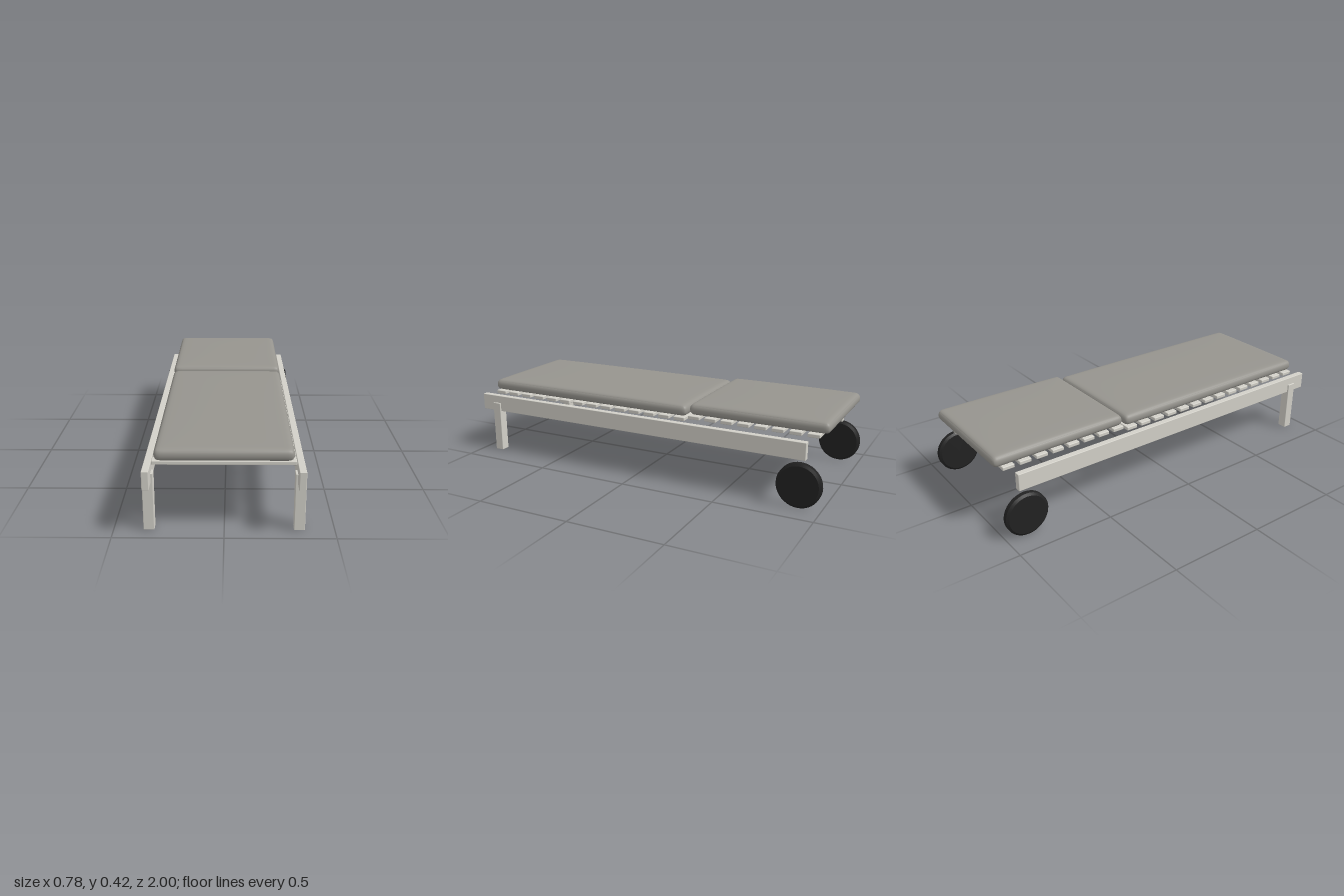
import * as THREE from 'three';
import { mergeVertices, toCreasedNormals } from 'three/addons/utils/BufferGeometryUtils.js';
import { RoundedBoxGeometry } from 'three/addons/geometries/RoundedBoxGeometry.js';

const frameMat = new THREE.MeshStandardMaterial({ name: 'pale frame', color: 0xd2d0c8 });
const cushionMat = new THREE.MeshStandardMaterial({ name: 'grey fabric', color: 0x96948e });
const wheelMat = new THREE.MeshStandardMaterial({ name: 'black rubber', color: 0x222222 });

// Softly rounded box given by its extents on each axis
function bar(name, [x0, x1], [y0, y1], [z0, z1], radius = 0.003) {
  const geo = new RoundedBoxGeometry(x1 - x0, y1 - y0, z1 - z0, 2, radius);
  const mesh = new THREE.Mesh(geo, frameMat);
  mesh.name = name;
  mesh.position.set((x0 + x1) / 2, (y0 + y1) / 2, (z0 + z1) / 2);
  return mesh;
}

// Padded cushion: box with rolled edges and a slightly domed top
function cushion(name, halfW, y0, y1, z0, z1, dome) {
  const half = new THREE.Vector3(halfW, (y1 - y0 - dome) / 2, (z1 - z0) / 2);
  const r = half.y * 0.92;
  let geo = new THREE.BoxGeometry(2, 2, 2, 28, 10, 36);
  geo.deleteAttribute('uv');
  geo.deleteAttribute('normal');
  geo = mergeVertices(geo);
  const pos = geo.attributes.position;
  const p = new THREE.Vector3(), inner = new THREE.Vector3();
  const limit = half.clone().subScalar(r);
  const low = limit.clone().negate();
  for (let i = 0; i < pos.count; i++) {
    p.fromBufferAttribute(pos, i);
    const crown = (1 - p.x * p.x) * (1 - p.z * p.z);
    const top = p.y > 0 ? p.y : 0;
    // concentrate the rows near the edges, then round them
    p.set(Math.sin(p.x * Math.PI / 2), Math.sin(p.y * Math.PI / 2), Math.sin(p.z * Math.PI / 2)).multiply(half);
    inner.copy(p).clamp(low, limit);
    p.sub(inner).setLength(r).add(inner);
    p.y += dome * crown * top;
    pos.setXYZ(i, p.x, p.y, p.z);
  }
  geo.computeVertexNormals();
  const mesh = new THREE.Mesh(geo, cushionMat);
  mesh.name = name;
  mesh.position.set(0, y0 + half.y, (z0 + z1) / 2);
  return mesh;
}

// Row of evenly spaced cross slats
function slats(name, count, zFirst, zLast, y0, y1, halfW) {
  const row = new THREE.Group();
  row.name = name;
  for (let i = 0; i < count; i++) {
    const z = zFirst + (zLast - zFirst) * i / (count - 1);
    row.add(bar('slat', [-halfW, halfW], [y0, y1], [z - 0.031, z + 0.031], 0.004));
  }
  return row;
}

export function createModel() {
  const model = new THREE.Group();
  model.name = 'sunLounger';

  // Solid disc wheel with bevelled rims
  const profile = [[0, -0.02], [0.1, -0.02], [0.112, -0.011], [0.112, 0.011], [0.1, 0.02], [0, 0.02]]
    .map(([r, y]) => new THREE.Vector2(r, y));
  const wheelGeo = toCreasedNormals(new THREE.LatheGeometry(profile, 40), 0.5);
  wheelGeo.rotateZ(Math.PI / 2);

  // Side rails, front legs and rear wheels
  for (const [side, s] of [['left', 1], ['right', -1]]) {
    const span = (a, b) => (s > 0 ? [a, b] : [-b, -a]);
    model.add(bar(side + 'Rail', span(0.325, 0.357), [0.231, 0.32], [-0.907, 1]));
    model.add(bar(side + 'FrontLeg', span(0.315, 0.365), [0, 0.278], [0.878, 0.926]));
    const wheel = new THREE.Mesh(wheelGeo, wheelMat);
    wheel.name = side + 'Wheel';
    wheel.position.set(s * 0.37, 0.113, -0.887);
    model.add(wheel);
  }

  // Seat and backrest decks
  model.add(slats('seatSlats', 14, 0.9, -0.23, 0.322, 0.341, 0.319));
  model.add(slats('backSlats', 8, -0.308, -0.925, 0.333, 0.352, 0.308));

  // Cushions
  model.add(cushion('seatCushion', 0.309, 0.341, 0.406, -0.264, 0.945, 0.008));
  model.add(cushion('backCushion', 0.309, 0.356, 0.42, -1, -0.28, 0.008));
  return model;
}
